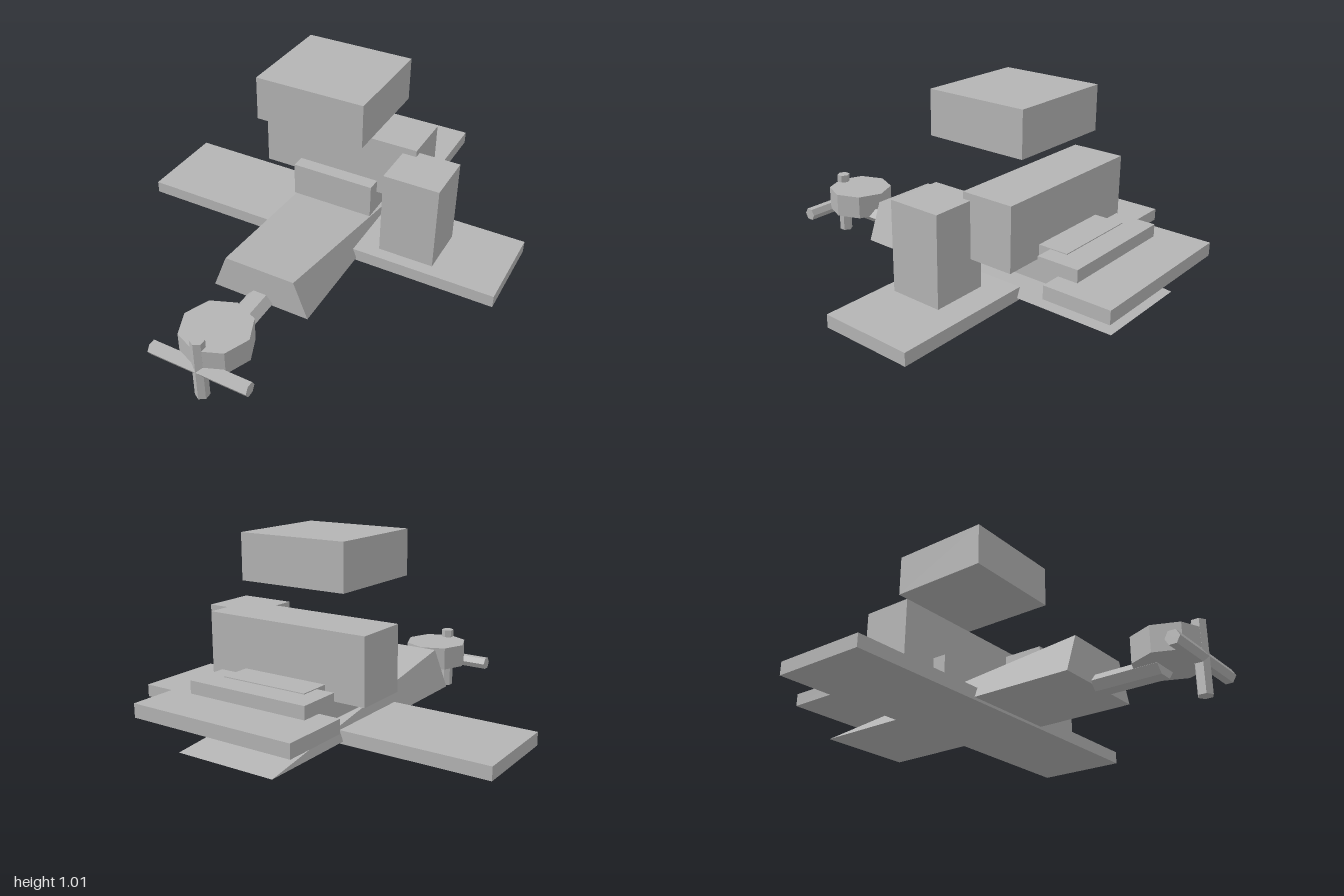
import * as THREE from 'three';
import { ConvexGeometry } from 'three/addons/geometries/ConvexGeometry.js';

export function createModel() {
  const model = new THREE.Group();
  model.name = 'blockPlane';
  const grey = new THREE.MeshStandardMaterial({ color: 0xb4b4b4, flatShading: true });
  grey.name = 'plain grey';

  const add = (name, geometry, x = 0, y = 0, z = 0) => {
    const mesh = new THREE.Mesh(geometry, grey);
    mesh.name = name;
    mesh.position.set(x, y, z);
    model.add(mesh);
    return mesh;
  };

  // Box given by its limits on each axis
  const box = (name, [x0, x1], [y0, y1], [z0, z1]) =>
    add(name, new THREE.BoxGeometry(x1 - x0, y1 - y0, z1 - z0),
      (x0 + x1) / 2, (y0 + y1) / 2, (z0 + z1) / 2);

  // Wings, cabin blocks and tail
  box('mainWing', [-0.935, 0.93], [0.137, 0.198], [-0.437, 0.012]);
  box('upperBlock', [-0.268, 0.266], [0.797, 1.008], [-0.465, 0.04]);
  box('cabinBlock', [-0.408, 0.404], [0.355, 0.652], [-0.522, -0.267]);
  box('wingTower', [0.335, 0.607], [0.198, 0.62], [-0.307, -0.05]);
  box('cockpitBlock', [-0.214, 0.211], [0.25, 0.42], [-0.665, -0.197]);
  box('tailStep', [-0.3, 0.298], [0.316, 0.416], [-0.778, -0.58]);
  box('tailPlane', [-0.402, 0.4], [0.296, 0.358], [-1, -0.685]);

  // Fuselage: trapezoid nose tapering to a flat edge at the tail
  const points = [];
  for (const s of [-1, 1]) {
    points.push(
      new THREE.Vector3(s * 0.245, 0.15, 0.495),
      new THREE.Vector3(s * 0.175, 0.332, 0.495),
      new THREE.Vector3(s * 0.245, 0.15, -0.915));
  }
  add('fuselage', new ConvexGeometry(points));

  // Flattened six-sided nose shaft
  const shaft = new THREE.CylinderGeometry(0.067, 0.067, 0.312, 6);
  shaft.rotateY(Math.PI / 6).rotateX(Math.PI / 2).scale(1, 0.65, 1);
  add('noseShaft', shaft, 0, 0.162, 0.649);

  // Eight-sided engine
  add('engine', new THREE.CylinderGeometry(0.163, 0.163, 0.118, 8), 0, 0.222, 0.832);

  // Crossed propeller bars
  const bar = (length) => new THREE.CylinderGeometry(0.033, 0.033, length, 6);
  add('propellerVertical', bar(0.32), 0, 0.16, 0.967);
  add('propellerHorizontal', bar(0.49).rotateZ(Math.PI / 2), 0, 0.16, 0.967);

  return model;
}
